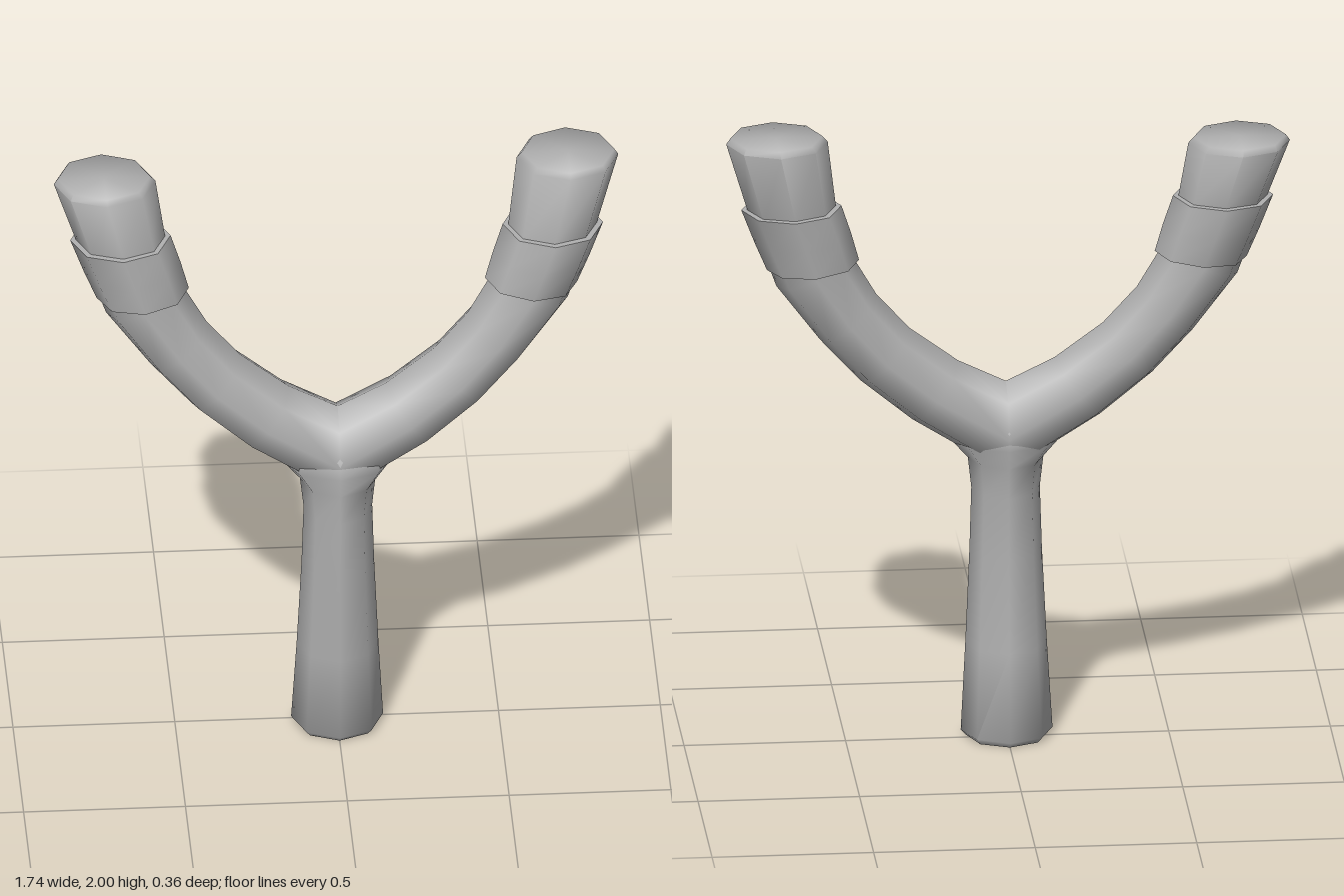
import * as THREE from 'three';
import { toCreasedNormals } from 'three/addons/utils/BufferGeometryUtils.js';

const SIDES = 8;

// Capped skin over rings: [x, y, z, heading in degrees, in-plane radius, depth radius]
function loft(rings) {
  const pos = [], index = [];
  for (const [x, y, z, heading, ru, rv] of rings) {
    const a = THREE.MathUtils.degToRad(heading);
    for (let j = 0; j < SIDES; j++) {
      const t = (j / SIDES) * Math.PI * 2, u = ru * Math.cos(t);
      pos.push(x + Math.sin(a) * u, y - Math.cos(a) * u, z + rv * Math.sin(t));
    }
  }
  const last = rings.length - 1, start = rings.length * SIDES, end = start + 1;
  pos.push(...rings[0].slice(0, 3), ...rings[last].slice(0, 3));
  for (let j = 0; j < SIDES; j++) {
    const k = (j + 1) % SIDES;
    for (let i = 0; i < last; i++) {
      const a = i * SIDES + j, b = i * SIDES + k;
      index.push(a, a + SIDES, b, b, a + SIDES, b + SIDES);
    }
    index.push(start, j, k, end, last * SIDES + k, last * SIDES + j);
  }
  const geo = new THREE.BufferGeometry();
  geo.setAttribute('position', new THREE.Float32BufferAttribute(pos, 3));
  geo.setIndex(index);
  return toCreasedNormals(geo, THREE.MathUtils.degToRad(62));
}

// Mirrored copy of a ring list, walked in the opposite direction
const mirror = rings => rings.map(([x, y, z, h, ru, rv]) => [-x, y, z, -h, ru, rv]).reverse();

export function createModel() {
  const group = new THREE.Group();
  const grey = new THREE.MeshStandardMaterial({ color: 0xb0b0b0 });
  grey.name = 'grey';
  const add = (name, rings) => {
    const mesh = new THREE.Mesh(loft(rings), grey);
    mesh.name = name;
    group.add(mesh);
  };

  // Handle, flaring towards the foot and into the fork
  add('handle', [
    [0, 0, 0.02, 90, 0.125, 0.125],
    [0, 0.018, 0.02, 90, 0.142, 0.14],
    [0, 0.3, 0.04, 90, 0.126, 0.13],
    [0, 0.6, 0.054, 90, 0.112, 0.122],
    [0, 0.8, 0.057, 90, 0.106, 0.122],
    [0, 0.9, 0.054, 90, 0.117, 0.125],
    [0, 0.96, 0.05, 90, 0.17, 0.128],
    [0, 1.02, 0.046, 90, 0.18, 0.126],
    [0, 1.09, 0.045, 90, 0.1, 0.07],
  ]);

  // Forked arms as one bent bar; the left tip is slightly shorter
  const arm = [
    [0.22, 1.13, 0.04, 37, 0.118, 0.125],
    [0.375, 1.255, 0.03, 42, 0.113, 0.122],
    [0.49, 1.385, 0.02, 50, 0.113, 0.12],
    [0.6, 1.55, 0.01, 65, 0.125, 0.12],
    [0.665, 1.75, 0, 85, 0.135, 0.125],
  ];
  const tip = top => [
    [0.715, top - 0.018, -0.03, 90, 0.157, 0.148],
    [0.717, top, -0.03, 90, 0.143, 0.136],
  ];
  add('forkArms', [
    ...mirror([...arm, ...tip(1.96)]),
    [0, 1.0, 0.045, 0, 0.15, 0.13],
    ...arm, ...tip(2),
  ]);

  // Wrapped cuffs near the tips
  const cuff = [
    [0.6, 1.563, 0.01, 85, 0.143, 0.131],
    [0.632, 1.655, 0.005, 86, 0.15, 0.14],
    [0.668, 1.757, -0.002, 89, 0.155, 0.147],
  ];
  add('leftCuff', cuff);
  add('rightCuff', mirror(cuff));

  return group;
}
